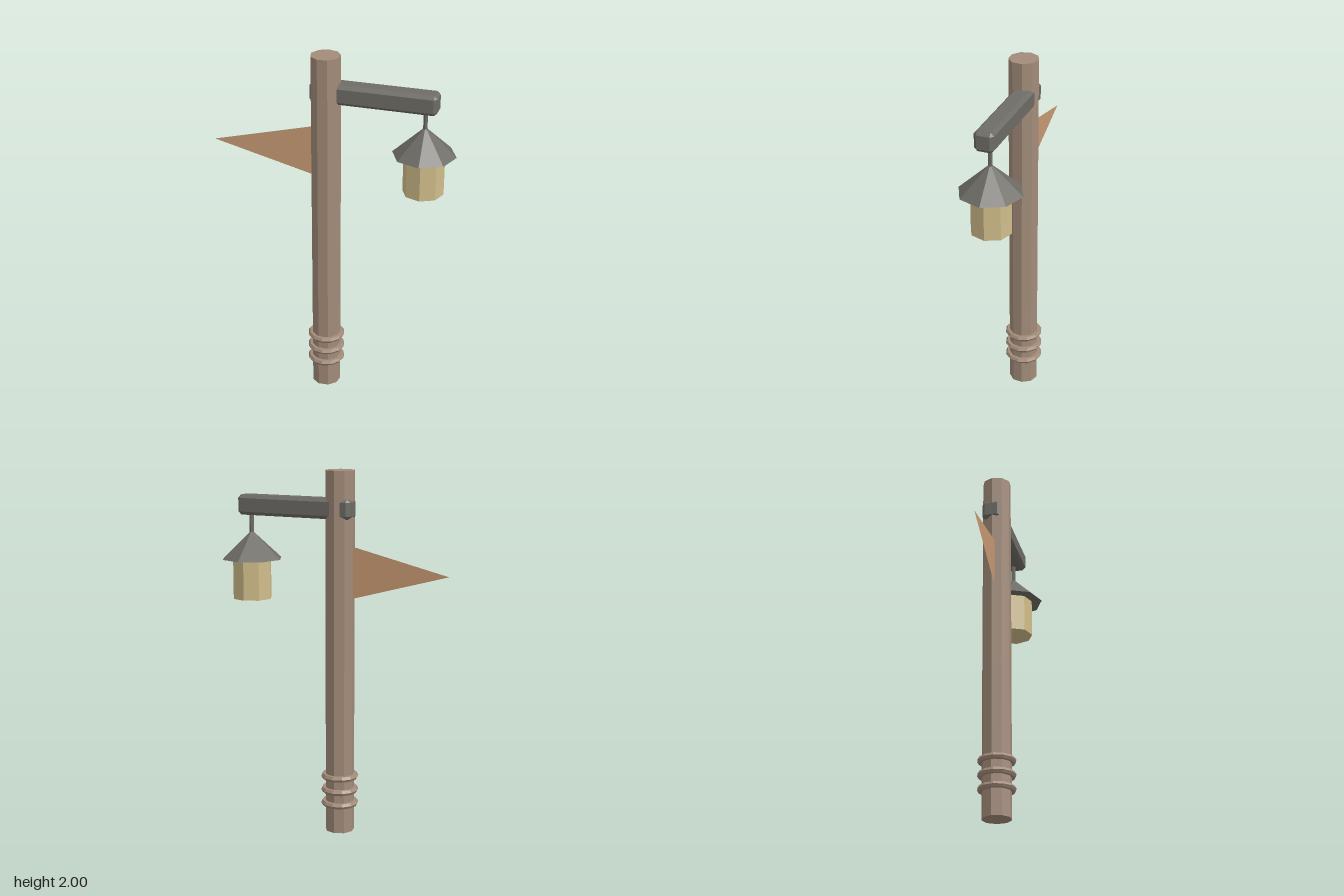
import * as THREE from 'three';
import { ConvexGeometry } from 'three/addons/geometries/ConvexGeometry.js';

const mat = (name, color, extra = {}) => {
  const m = new THREE.MeshStandardMaterial({ color, flatShading: true, ...extra });
  m.name = name;
  return m;
};

// Box with every edge cut by a flat chamfer
function chamferedBox(w, h, d, c) {
  const pts = [];
  const half = [w / 2, h / 2, d / 2];
  for (const sx of [-1, 1]) for (const sy of [-1, 1]) for (const sz of [-1, 1]) {
    for (let full = 0; full < 3; full++) {
      const p = [sx, sy, sz].map((s, i) => s * (i === full ? half[i] : half[i] - c));
      pts.push(new THREE.Vector3(...p));
    }
  }
  return new ConvexGeometry(pts);
}

export function createModel() {
  const group = new THREE.Group();
  const wood = mat('wood', 0xa38c7a);
  const iron = mat('iron', 0x6e6c66);
  const glass = mat('glass', 0xd0bd8a);
  const cloth = mat('cloth', 0xc89a74, { side: THREE.DoubleSide });

  const add = (name, geometry, material, x, y, z = 0) => {
    const mesh = new THREE.Mesh(geometry, material);
    mesh.name = name;
    mesh.position.set(x, y, z);
    group.add(mesh);
    return mesh;
  };

  const postX = -0.04;
  const lampX = 0.487;

  // Nine-sided post with a flat side to the front
  add('post', new THREE.CylinderGeometry(0.08, 0.08, 2, 9), wood, postX, 1).rotation.y = Math.PI;

  // Rope rings near the foot
  for (const y of [0.16, 0.237, 0.315]) {
    add('ring', new THREE.TorusGeometry(0.087, 0.017, 6, 12), wood, postX, y).rotation.x = Math.PI / 2;
  }

  // Arm through the post, slightly skewed
  add('arm', chamferedBox(0.677, 0.11, 0.106, 0.018), iron, 0.217, 1.797, -0.003).rotation.y = -0.05;

  // Hanging lantern
  add('hanger', new THREE.CylinderGeometry(0.012, 0.012, 0.15, 6), iron, lampX, 1.7);
  add('lanternRoof', new THREE.CylinderGeometry(0.008, 0.17, 0.15, 8), iron, lampX, 1.575);
  add('lanternGlass', new THREE.CylinderGeometry(0.11, 0.11, 0.22, 8), glass, lampX, 1.39);

  // Pennant
  const pennant = new THREE.Shape([
    new THREE.Vector2(postX, 1.613),
    new THREE.Vector2(-0.655, 1.465),
    new THREE.Vector2(postX, 1.294),
  ]);
  add('pennant', new THREE.ShapeGeometry(pennant), cloth, 0, 0);

  return group;
}
